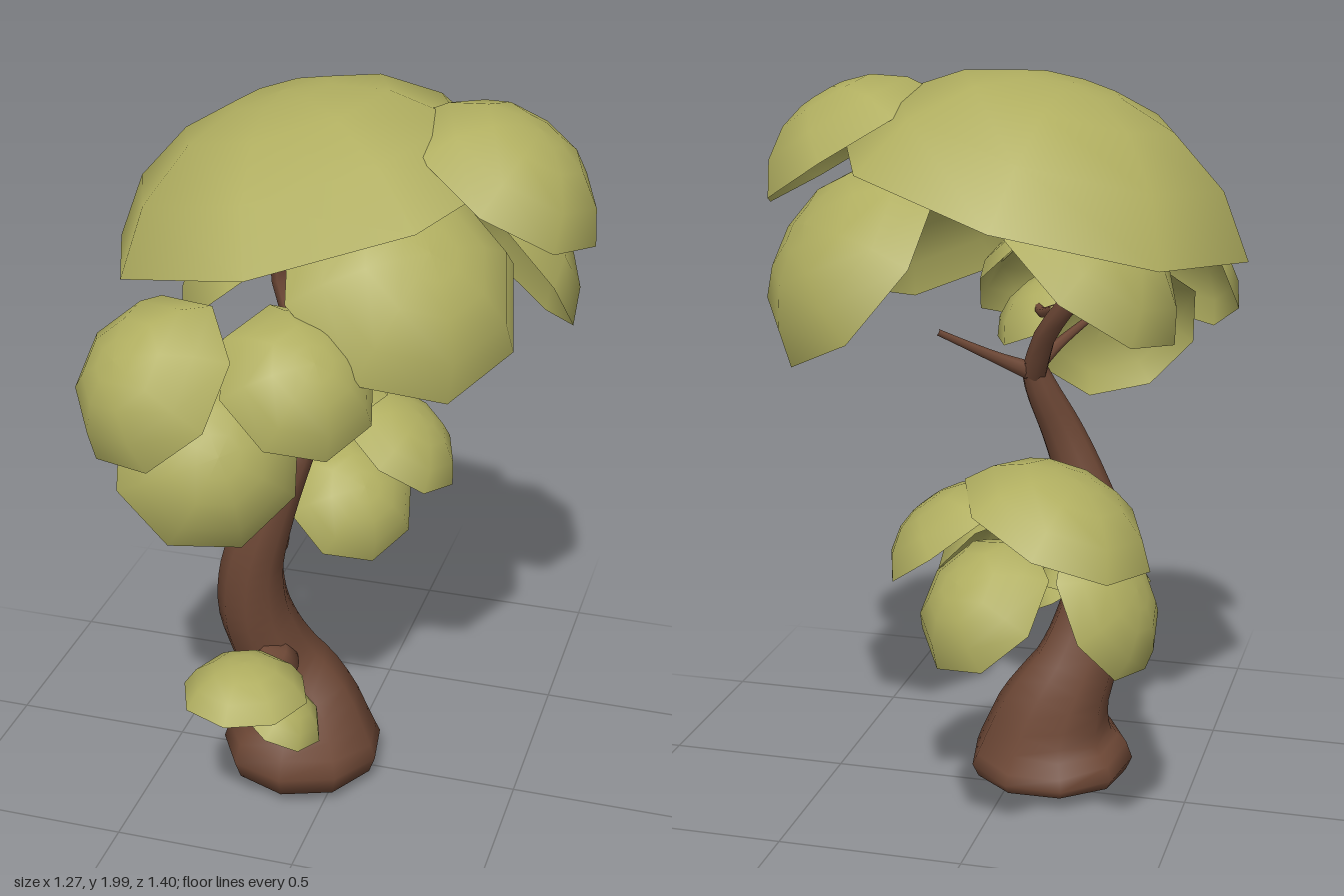
import * as THREE from 'three';
import { mergeVertices, mergeGeometries } from 'three/addons/utils/BufferGeometryUtils.js';

const bark = new THREE.MeshStandardMaterial({ color: 0x6e4836 });
const foliage = new THREE.MeshStandardMaterial({ color: 0xb0ae60 });

// Tapered limb swept along [x, y, z, radius] points.
function limb(name, points, segments, sides) {
  const curve = new THREE.CatmullRomCurve3(points.map(p => new THREE.Vector3(p[0], p[1], p[2])));
  const radii = new THREE.SplineCurve(points.map((p, i) => new THREE.Vector2(i, p[3])));
  let geo = new THREE.TubeGeometry(curve, segments, 1, sides);
  const pos = geo.attributes.position;
  const v = new THREE.Vector3();
  for (let i = 0; i <= segments; i++) {
    const centre = curve.getPointAt(i / segments);
    const r = Math.max(0.002, radii.getPoint(curve.getUtoTmapping(i / segments)).y);
    for (let j = 0; j <= sides; j++) {
      const k = i * (sides + 1) + j;
      v.fromBufferAttribute(pos, k).sub(centre).multiplyScalar(r).add(centre);
      pos.setXYZ(k, v.x, v.y, v.z);
    }
  }
  geo.deleteAttribute('uv');
  geo.deleteAttribute('normal');
  geo = mergeVertices(geo, 1e-5);
  geo.computeVertexNormals();
  const mesh = new THREE.Mesh(geo, bark);
  mesh.name = name;
  return mesh;
}

// Unit eight-sided leaf cap: domed outside, hollow underneath.
function capGeometry() {
  const outer = [[1, 0], [0.8, 0.5], [0.51, 0.84], [0.24, 0.98], [0, 1]];
  const inner = [[0, 0.78], [0.5, 0.66], [0.8, 0.36], [1, 0]];
  const lathe = pts => new THREE.LatheGeometry(pts.map(p => new THREE.Vector2(p[0], p[1])), 8);
  return mergeGeometries([lathe(outer), lathe(inner)]);
}

export function createModel() {
  const tree = new THREE.Group();
  tree.name = 'tree';

  // Trunk with a flared foot and an S-shaped lean
  tree.add(limb('trunk', [
    [-0.11, 0.0, 0.045, 0.08], [-0.11, 0.02, 0.045, 0.185], [-0.11, 0.08, 0.045, 0.228],
    [-0.113, 0.18, 0.035, 0.178], [-0.14, 0.27, 0.03, 0.142], [-0.175, 0.35, 0.045, 0.118],
    [-0.205, 0.44, 0.075, 0.107],
    [-0.228, 0.55, 0.105, 0.1], [-0.22, 0.7, 0.13, 0.087], [-0.175, 0.85, 0.135, 0.072],
    [-0.12, 1.0, 0.12, 0.058], [-0.07, 1.13, 0.08, 0.045], [-0.045, 1.22, 0.055, 0.032],
  ], 32, 9));

  // Branches and twigs
  const branches = {
    crownBranch: [[-0.055, 1.18, 0.06, 0.035], [-0.1, 1.3, 0.0, 0.03], [-0.19, 1.44, -0.06, 0.026],
      [-0.17, 1.57, -0.05, 0.025], [0.05, 1.63, -0.05, 0.02], [0.39, 1.8, -0.06, 0.012]],
    sideTwig: [[-0.05, 1.18, 0.06, 0.026], [0.04, 1.23, 0.0, 0.016], [0.17, 1.31, -0.09, 0.009]],
    frontTwig: [[-0.05, 1.19, 0.06, 0.024], [-0.1, 1.24, 0.17, 0.015], [-0.18, 1.3, 0.42, 0.008]],
    upperTwig: [[-0.13, 1.37, -0.02, 0.016], [-0.06, 1.34, 0.1, 0.013], [0.0, 1.41, 0.34, 0.008]],
    rearBranch: [[-0.2, 0.67, 0.13, 0.03], [-0.21, 0.72, 0.06, 0.068], [-0.23, 0.78, -0.03, 0.052],
      [-0.245, 0.815, -0.15, 0.042], [-0.255, 0.835, -0.22, 0.03], [-0.257, 0.838, -0.235, 0.002]],
    frontBranch: [[-0.18, 0.46, 0.05, 0.03], [-0.16, 0.4, 0.15, 0.072], [-0.145, 0.4, 0.24, 0.055],
      [-0.14, 0.43, 0.33, 0.036], [-0.14, 0.45, 0.4, 0.002]],
  };
  for (const [name, points] of Object.entries(branches)) tree.add(limb(name, points, 16, 7));

  // Leaf caps: rim centre, facing direction, radius, height
  const clusters = {
    crown: [
      [[-0.105, 1.67, -0.06], [-0.255, 0.967, 0], 0.55, 0.305],
      [[0.395, 1.78, -0.07], [0.53, 0.85, 0], 0.28, 0.165],
      [[0.185, 1.555, 0.12], [0.5, 0.68, 0.46], 0.33, 0.175],
      [[0.32, 1.535, -0.305], [0.63, 0.6, -0.5], 0.315, 0.165],
      [[-0.23, 1.49, -0.08], [-0.62, 0.76, -0.1], 0.29, 0.16],
    ],
    frontCluster: [
      [[-0.33, 1.39, 0.51], [-0.4, 0.62, 0.66], 0.235, 0.15],
      [[0.0, 1.385, 0.4], [0.5, 0.68, 0.5], 0.21, 0.125],
      [[-0.2, 1.205, 0.5], [0.47, 0.42, 0.78], 0.24, 0.15],
      [[-0.06, 1.31, 0.25], [0.45, 0.85, -0.15], 0.18, 0.1],
    ],
    rearCluster: [
      [[-0.22, 0.9, -0.37], [-0.4, 0.92, -0.05], 0.26, 0.135],
      [[0.045, 0.86, -0.39], [0.6, 0.8, 0], 0.205, 0.11],
      [[-0.045, 0.75, -0.22], [0.52, 0.6, 0.55], 0.195, 0.11],
      [[-0.08, 0.74, -0.55], [0.45, 0.65, -0.6], 0.195, 0.115],
      [[-0.355, 0.725, -0.42], [-0.85, 0.45, -0.2], 0.205, 0.1],
    ],
    lowCluster: [
      [[-0.145, 0.48, 0.43], [0, 1, 0], 0.17, 0.095],
      [[-0.05, 0.43, 0.43], [0.5, 0.86, 0], 0.125, 0.07],
    ],
  };
  const cap = capGeometry();
  const up = new THREE.Vector3(0, 1, 0);
  for (const [name, leaves] of Object.entries(clusters)) {
    const group = new THREE.Group();
    group.name = name;
    leaves.forEach(([centre, facing, radius, height], i) => {
      const leaf = new THREE.Mesh(cap, foliage);
      leaf.name = `${name}Leaf${i + 1}`;
      leaf.position.set(...centre);
      leaf.quaternion.setFromUnitVectors(up, new THREE.Vector3(...facing).normalize());
      leaf.scale.set(radius, height, radius);
      group.add(leaf);
    });
    tree.add(group);
  }

  // Underside of the foot
  const sole = new THREE.Mesh(new THREE.CircleGeometry(0.085, 9), bark);
  sole.name = 'trunkSole';
  sole.rotation.x = Math.PI / 2;
  sole.position.set(-0.11, 0.001, 0.045);
  tree.add(sole);
  return tree;
}
